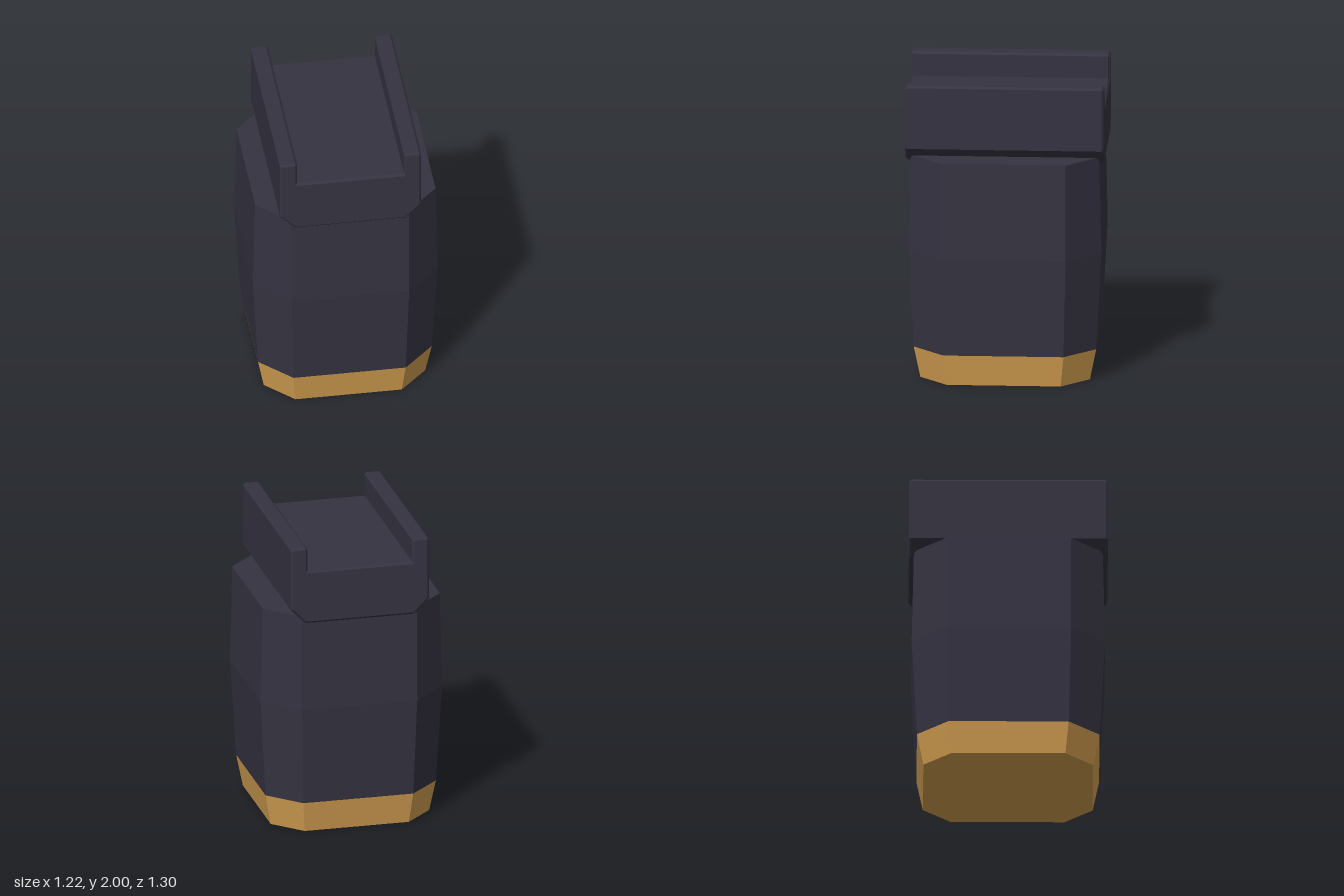
import * as THREE from 'three';

const dark = new THREE.MeshStandardMaterial({ name: 'dark slate', color: 0x353341, flatShading: true });
const gold = new THREE.MeshStandardMaterial({ name: 'gold', color: 0xd6a152, flatShading: true });

// Chamfered rectangle ring: height, half width, half depth, corner cut
function ring([y, w, d, c]) {
  return [
    [w, d - c], [w - c, d], [c - w, d], [-w, d - c],
    [-w, c - d], [c - w, -d], [w - c, -d], [w, c - d],
  ].map(([x, z]) => [x, y, z]);
}

// Flat-faced loft through rings from bottom to top, with optional caps
function loft(sections, capBottom, capTop) {
  const rings = sections.map(ring);
  const pos = [];
  const tri = (a, b, c) => pos.push(...a, ...b, ...c);
  for (let r = 0; r < rings.length - 1; r++) {
    const lo = rings[r], hi = rings[r + 1];
    for (let i = 0; i < 8; i++) {
      const j = (i + 1) % 8;
      tri(lo[i], hi[i], lo[j]);
      tri(hi[i], hi[j], lo[j]);
    }
  }
  const first = rings[0], last = rings[rings.length - 1];
  for (let i = 1; i < 7; i++) {
    if (capBottom) tri(first[0], first[i], first[i + 1]);
    if (capTop) tri(last[0], last[i + 1], last[i]);
  }
  const geo = new THREE.BufferGeometry();
  geo.setAttribute('position', new THREE.Float32BufferAttribute(pos, 3));
  geo.computeVertexNormals();
  return geo;
}

export function createModel() {
  const model = new THREE.Group();
  const add = (name, geo, mat) => {
    const mesh = new THREE.Mesh(geo, mat);
    mesh.name = name;
    model.add(mesh);
  };

  // Eight-sided bulging body on a tapered foot
  const seam = [0.21, 0.572, 0.595, 0.203];
  add('foot', loft([[0, 0.532, 0.553, 0.182], seam], true, false), gold);
  add('body', loft([seam, [0.87, 0.609, 0.63, 0.222], [1.515, 0.594, 0.615, 0.207]], false, true), dark);

  // U-shaped channel with bevelled edges, running front to back
  const e = 0.014;
  const half = [
    [0.365, 1.475], [0.465, 1.575], [0.465, 2 - e], [0.465 - e, 2],
    [0.352 + e, 2], [0.352, 2 - e], [0.352, 1.838],
  ];
  const mirrored = half.map(([x, y]) => [-x, y]).reverse();
  const shape = new THREE.Shape([...half, ...mirrored].map(([x, y]) => new THREE.Vector2(x, y)));
  const depth = 1.296 - 2 * e;
  const channel = new THREE.ExtrudeGeometry(shape, {
    depth, bevelEnabled: true, bevelSegments: 1, bevelSize: e, bevelThickness: e, bevelOffset: -e,
  });
  channel.translate(0, 0, -depth / 2);
  add('channel', channel, dark);

  return model;
}
